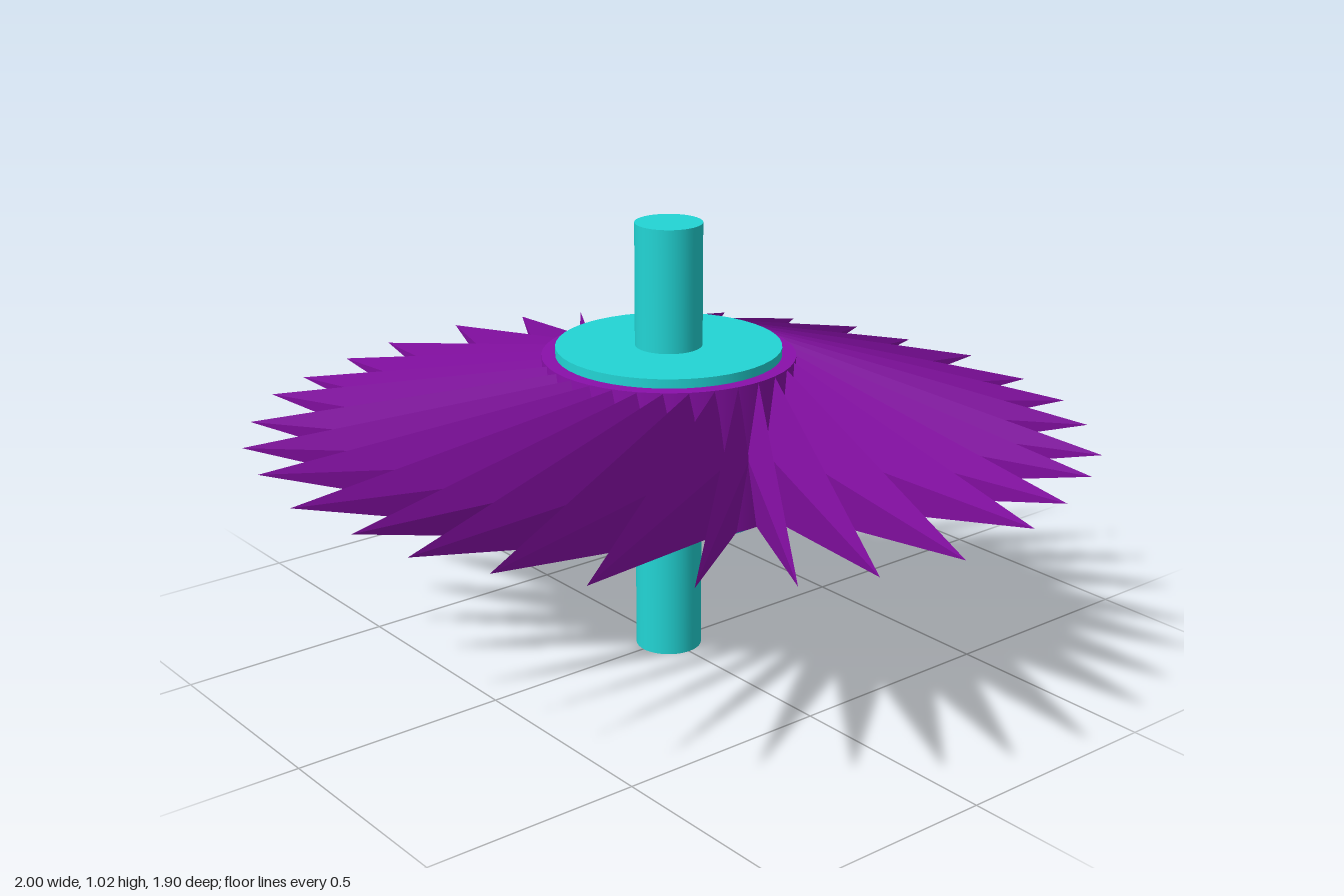
import * as THREE from 'three';

const HUB_R = 0.285, MID_Y = 0.55, HALF_H = 0.17;

// Tip angle (degrees, seen from above) and reach of each blade in one half turn
const TIPS = [
  [86.7, 0.952], [73.5, 0.949], [62.5, 0.964], [51.1, 0.964],
  [38.2, 0.979], [29.2, 0.974], [18.5, 0.976], [9.0, 0.987],
  [-4.0, 1.002], [-15.0, 0.988], [-24.5, 0.978], [-35.9, 0.956],
  [-48.0, 0.956], [-59.7, 0.95], [-70.7, 0.953], [-81.1, 0.936],
];

function polar(degrees, radius, y) {
  const a = THREE.MathUtils.degToRad(degrees);
  return new THREE.Vector3(radius * Math.cos(a), y, -radius * Math.sin(a));
}

export function createModel() {
  const model = new THREE.Group();
  const teal = new THREE.MeshStandardMaterial({ color: 0x22d5d5 });
  const purple = new THREE.MeshStandardMaterial({ color: 0x8a10aa });
  const purpleFlat = new THREE.MeshStandardMaterial({ color: 0x8a10aa, flatShading: true });

  function cylinder(name, radius, y0, y1, material) {
    const mesh = new THREE.Mesh(new THREE.CylinderGeometry(radius, radius, y1 - y0, 48), material);
    mesh.position.y = (y0 + y1) / 2;
    mesh.name = name;
    model.add(mesh);
  }

  // Axle, hub and the two end plates
  cylinder('axle', 0.077, 0, 1.025, teal);
  cylinder('hub', 0.29, MID_Y - HALF_H, MID_Y + HALF_H, purple);
  cylinder('lowerPlate', 0.258, 0.362, 0.381, teal);
  cylinder('upperPlate', 0.258, 0.719, 0.741, teal);

  // Swept blades: tall diamond section tapering to a point
  const spike = new THREE.ConeGeometry(1, 1, 4, 1);
  spike.translate(0, 0.5, 0);
  spike.rotateX(Math.PI / 2); // base at the origin, point along +z

  const blades = new THREE.Group();
  blades.name = 'blades';
  for (let half = 0; half < 2; half++) {
    TIPS.forEach(([angle, reach], i) => {
      const tip = polar(angle + half * 180, reach, MID_Y);
      tip.y += 0.01 * THREE.MathUtils.clamp((tip.x + tip.z) * 2, -1, 1);
      const root = polar(117 - i * 11.25 + half * 180, HUB_R, MID_Y);
      const blade = new THREE.Mesh(spike, purpleFlat);
      blade.name = 'blade';
      blade.position.copy(root);
      blade.lookAt(tip);
      blade.scale.set(0.025, HALF_H, root.distanceTo(tip));
      blades.add(blade);
    });
  }
  model.add(blades);

  return model;
}
